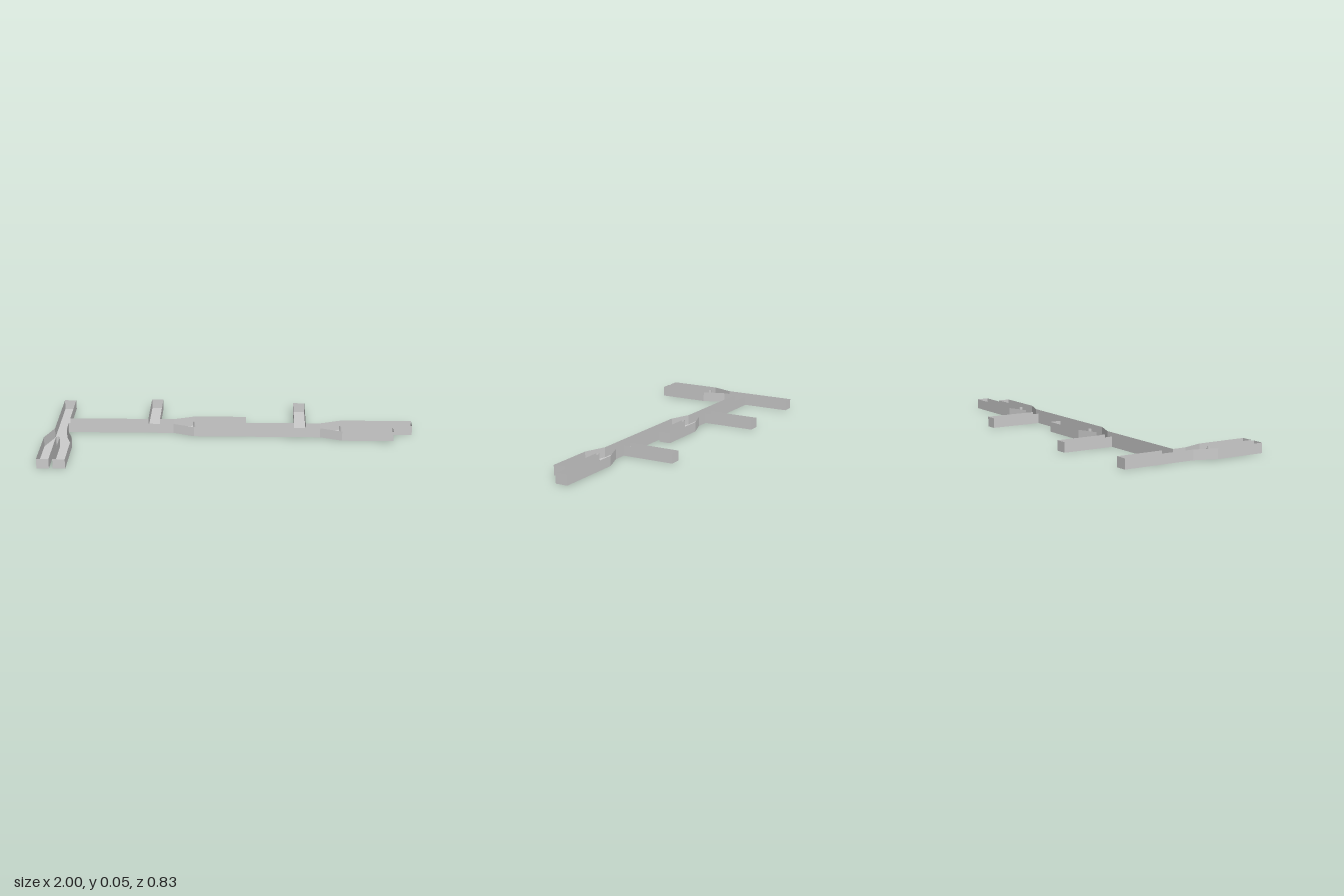
import * as THREE from 'three';

const HEIGHT = 0.054;
const material = new THREE.MeshStandardMaterial({ color: 0xcccccc, flatShading: true, side: THREE.DoubleSide });

// Rounded end of the narrow slot between two branches, swept from angle a0 to a1
function slotTip(cx, cz, r, a0, a1, steps = 6) {
  const pts = [];
  for (let i = 0; i <= steps; i++) {
    const a = a0 + (a1 - a0) * i / steps;
    pts.push([cx + r * Math.cos(a), cz + r * Math.sin(a)]);
  }
  return pts;
}

// Plan of the connected channels as [x, z], clockwise seen from above
function planOutline() {
  const H = Math.PI / 2;
  return [
    // back arm at the right-hand end, then along the main channel
    [-0.957, -0.39], [-0.892, -0.39], [-0.892, -0.127],
    // middle back arm
    [-0.457, -0.127], [-0.457, -0.415], [-0.392, -0.415], [-0.392, -0.127],
    // middle fork: short back branch
    [-0.313, -0.127], [-0.198, -0.168], [0.086, -0.168], [0.086, -0.103],
    ...slotTip(-0.194, -0.0935, 0.0095, -H, -3 * H),
    // third back arm
    [0.353, -0.084], [0.353, -0.373], [0.417, -0.373], [0.417, -0.084],
    // end fork: back branch, slot, front branch
    [0.494, -0.084], [0.612, -0.127], [1, -0.127], [1, -0.06],
    ...slotTip(0.612, -0.05, 0.01, -H, -3 * H),
    [0.892, -0.04], [0.892, 0.026], [0.612, 0.026], [0.494, -0.017],
    // front side of the main channel
    [-0.198, -0.017], [-0.313, -0.06], [-0.892, -0.06],
    // front fork with two legs
    [-0.892, 0.015], [-0.85, 0.135], [-0.85, 0.415], [-0.915, 0.415],
    ...slotTip(-0.925, 0.135, 0.01, 0, -2 * H),
    [-0.935, 0.415], [-1, 0.415], [-1, 0.135], [-0.957, 0.015],
  ];
}

// Upright wall ribbon following the closed outline
function wallGeometry(outline) {
  const pos = [];
  outline.forEach(([ax, az], i) => {
    const [bx, bz] = outline[(i + 1) % outline.length];
    pos.push(ax, 0, az, ax, HEIGHT, az, bx, HEIGHT, bz);
    pos.push(ax, 0, az, bx, HEIGHT, bz, bx, 0, bz);
  });
  const geo = new THREE.BufferGeometry();
  geo.setAttribute('position', new THREE.Float32BufferAttribute(pos, 3));
  geo.computeVertexNormals();
  return geo;
}

export function createModel() {
  const group = new THREE.Group();
  group.name = 'branchingChannel';
  const outline = planOutline();

  // Flat floor; the channels are open at the top
  const shape = new THREE.Shape(outline.map(([x, z]) => new THREE.Vector2(x, -z)));
  const floor = new THREE.Mesh(new THREE.ShapeGeometry(shape).rotateX(-Math.PI / 2), material);
  floor.name = 'channelFloor';

  // Thin side walls and end walls
  const walls = new THREE.Mesh(wallGeometry(outline), material);
  walls.name = 'channelWalls';

  group.add(floor, walls);
  return group;
}
